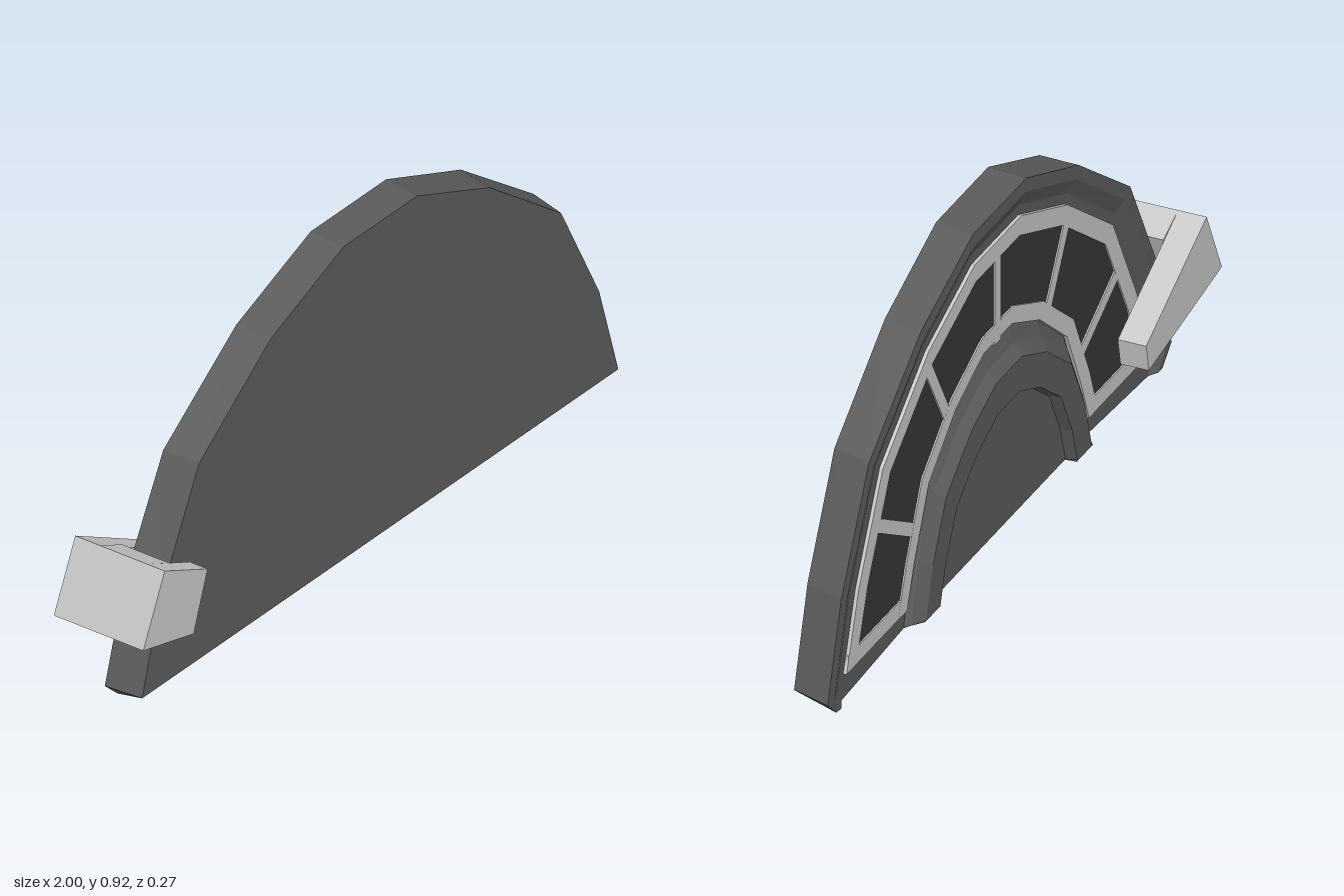
import * as THREE from 'three';

const CX = 0.035;
// Right half of the faceted arch, as fractions of half width and height
const ARCH = [[1, 0.049], [0.92, 0.326], [0.76, 0.645], [0.46, 0.873], [0.155, 1]];

const material = (name, color) => {
  const m = new THREE.MeshStandardMaterial({ color, flatShading: true });
  m.name = name;
  return m;
};

// Arch outline from right foot over the top to left foot
function arch(hw, h, bx, yb, cx = CX) {
  const half = [[bx, yb], ...ARCH.map(([u, v]) => [u * hw, Math.max(v * h, yb + 0.001)])];
  const left = half.map(([x, y]) => [-x, y]).reverse();
  return [...half, ...left].map(([x, y]) => [x + cx, y]);
}

// Half-round body lofted through arches from the front rim to the sunken back disc
function bodyGeometry() {
  const rings = [ // half width, height, z, foot x, foot y, centre x
    [0.943, 0.92, 0.07, 0.943, 0.045, 0.022],
    [0.965, 0.92, -0.035, 0.915, 0],
    [0.93, 0.885, -0.036, 0.89, 0],
    [0.88, 0.85, -0.022, 0.86, 0.002],
    [0.51, 0.55, -0.022, 0.51, 0.02],
    [0.5, 0.505, -0.037, 0.5, 0.025],
    [0.465, 0.475, -0.06, 0.47, 0.025],
    [0.385, 0.385, -0.06, 0.38, 0.025],
    [0.38, 0.38, -0.03, 0.377, 0.025],
  ].map(([hw, h, z, bx, yb, cx]) => arch(hw, h, bx, yb, cx).map(([x, y]) => [x, y, z]));
  const pos = [];
  const tri = (...p) => p.forEach((v) => pos.push(...v));
  const first = rings[0], last = rings[rings.length - 1], n = first.length;
  for (let i = 0; i + 1 < rings.length; i++) {
    const a = rings[i], b = rings[i + 1];
    for (let j = 0; j + 1 < n; j++) {
      tri(a[j], b[j], a[j + 1]);
      tri(b[j], b[j + 1], a[j + 1]);
    }
  }
  // Front face and back disc
  for (let j = 0; j + 1 < n; j++) {
    tri([CX, 0.045, 0.07], first[j], first[j + 1]);
    tri([CX, 0.025, -0.03], last[j + 1], last[j]);
  }
  // Sloping underside
  const backs = rings.slice(1);
  const q = [...backs.map((r) => r[0]), ...backs.map((r) => r[n - 1]).reverse()];
  const p = q.map(([x]) => [x, 0.045, 0.07]);
  p[0] = first[0];
  p[p.length - 1] = first[n - 1];
  for (let k = 0; k + 1 < q.length; k++) {
    tri(p[k], p[k + 1], q[k]);
    tri(p[k + 1], q[k + 1], q[k]);
  }
  const g = new THREE.BufferGeometry();
  g.setAttribute('position', new THREE.Float32BufferAttribute(pos, 3));
  g.computeVertexNormals();
  return g;
}

// Flat shape given as points, extruded from z0 to z1
function slab(points, z0, z1) {
  const shape = new THREE.Shape(points.map(([x, y]) => new THREE.Vector2(x, y)));
  const g = new THREE.ExtrudeGeometry(shape, { depth: z1 - z0, bevelEnabled: false });
  return g.translate(0, 0, z0);
}

// Arched strip between two outlines
const band = (ow, oh, iw, ih, z0, z1) =>
  slab([...arch(ow, oh, ow, 0.07), ...arch(iw, ih, iw, 0.07).reverse()], z0, z1);

export function createModel() {
  const model = new THREE.Group();
  const bodyGrey = material('body grey', 0x5c5c5c);
  const lightGrey = material('light grey', 0xc8c8c8);
  const darkPane = material('dark pane', 0x363636);
  const add = (parent, name, geometry, mat) => {
    const mesh = new THREE.Mesh(geometry, mat);
    mesh.name = name;
    parent.add(mesh);
    return mesh;
  };

  add(model, 'body', bodyGeometry(), bodyGrey);

  // Six dark panes in a light frame on the back
  add(model, 'panes', band(0.845, 0.82, 0.515, 0.56, -0.027, -0.021), darkPane);
  const frame = new THREE.Group();
  frame.name = 'paneFrame';
  model.add(frame);
  add(frame, 'outerBand', band(0.85, 0.825, 0.795, 0.775, -0.031, -0.022), lightGrey);
  add(frame, 'innerBand', band(0.56, 0.6, 0.51, 0.555, -0.031, -0.022), lightGrey);
  for (const side of [-1, 1]) {
    const end = new THREE.BoxGeometry(0.32, 0.045, 0.008);
    add(frame, 'endBar', end, lightGrey).position.set(CX + side * 0.68, 0.093, -0.0268);
  }
  for (let i = 1; i < 6; i++) {
    const a = (i * Math.PI) / 6;
    const bar = add(frame, 'divider', new THREE.BoxGeometry(0.25, 0.035, 0.008), lightGrey);
    bar.position.set(CX + 0.67 * Math.cos(a), 0.67 * Math.sin(a), -0.0268);
    bar.rotation.z = a;
  }

  // Clip gripping the right edge
  const clip = new THREE.Group();
  clip.name = 'clip';
  model.add(clip);
  const low = [-1, 0.24], high = [-0.915, 0.422];
  add(clip, 'clipSpine', slab([low, [-0.905, 0.215], [-0.83, 0.384], high], -0.06, 0.08), lightGrey);
  add(clip, 'clipFrontJaw', slab([low, [-0.8, 0.19], [-0.745, 0.345], high], 0.08, 0.133), lightGrey);
  add(clip, 'clipBackJaw', slab([low, [-0.59, 0.167], [-0.575, 0.242], high], -0.135, -0.06), lightGrey);

  return model;
}
